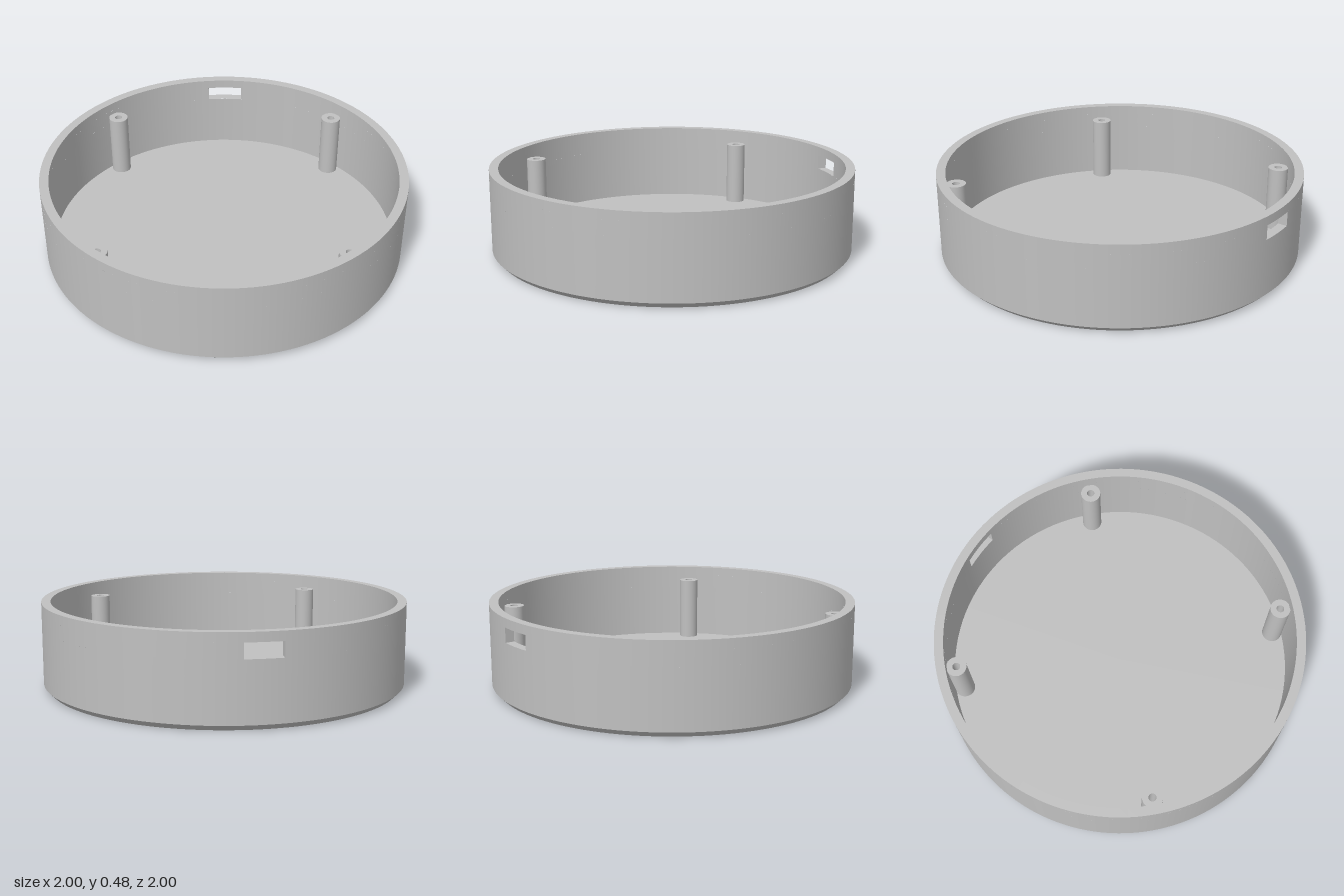
import * as THREE from 'three';
import { mergeGeometries } from 'three/addons/utils/BufferGeometryUtils.js';

const R = 1, INNER = 0.95, HEIGHT = 0.48, CHAMFER = 0.03, FLOOR = 0.045;
const SLOT = { half: 0.1, low: 0.35, high: 0.43 };
const TAU = Math.PI * 2;

// One straight profile segment revolved about y; keeping segments apart keeps edges sharp.
// Going up the profile faces outward, going down faces inward.
function band(r0, y0, r1, y1, segments = 128, start = 0, length = TAU) {
  return new THREE.LatheGeometry(
    [new THREE.Vector2(r0, y0), new THREE.Vector2(r1, y1)], segments, start, length);
}

function disc(r, y, up, segments) {
  return new THREE.CircleGeometry(r, segments).rotateX(up ? -Math.PI / 2 : Math.PI / 2).translate(0, y, 0);
}

export function createModel() {
  const model = new THREE.Group();
  model.name = 'roundEnclosure';
  const grey = new THREE.MeshStandardMaterial({ color: 0xc0c0c0 });
  grey.name = 'grey plastic';

  function add(name, parts, x = 0, z = 0) {
    const mesh = new THREE.Mesh(mergeGeometries(parts), grey);
    mesh.name = name;
    mesh.position.set(x, 0, z);
    model.add(mesh);
  }

  // Half angles of the slot opening at the outer and inner faces
  const gapOut = Math.asin(SLOT.half / R), gapIn = Math.asin(SLOT.half / INNER);
  const { low, high, half } = SLOT;

  // Wall: full rings below and above the slot, an open ring at slot height
  add('outerWall', [
    band(R - CHAMFER, 0, R, CHAMFER),
    band(R, CHAMFER, R, low),
    band(R, low, R, high, 128, Math.PI + gapOut, TAU - 2 * gapOut),
    band(R, high, R, HEIGHT),
  ]);
  add('innerWall', [
    band(INNER, low, INNER, FLOOR),
    band(INNER, high, INNER, low, 128, Math.PI + gapIn, TAU - 2 * gapIn),
    band(INNER, HEIGHT, INNER, high),
  ]);
  add('rim', [band(R, HEIGHT, INNER, HEIGHT)]);
  add('floor', [disc(INNER, FLOOR, true, 128)]);

  // Slot lining: sill, lintel and two side faces
  const zOut = Math.sqrt(R * R - half * half), zIn = Math.sqrt(INNER * INNER - half * half);
  const jamb = (side) => new THREE.PlaneGeometry(zOut - zIn, high - low)
    .rotateY(-side * Math.PI / 2)
    .translate(side * half, (low + high) / 2, -(zOut + zIn) / 2);
  add('cableSlot', [
    band(R, low, INNER, low, 8, Math.PI - gapIn, 2 * gapIn),
    band(INNER, high, R, high, 8, Math.PI - gapIn, 2 * gapIn),
    jamb(1), jamb(-1),
  ]);

  // Underside with three shallow round recesses for feet
  const base = new THREE.Shape().absarc(0, 0, R - CHAMFER, 0, TAU);
  const footR = 0.088, footDepth = 0.02;
  for (let i = 0; i < 3; i++) {
    const a = -Math.PI / 2 + i * TAU / 3;
    const x = 0.735 * Math.cos(a), z = 0.735 * Math.sin(a);
    base.holes.push(new THREE.Path().absarc(x, z, footR, 0, TAU, true));
    add('footRecess', [
      band(footR, footDepth, footR, 0, 48),
      disc(footR, footDepth, false, 48),
    ], x, z);
  }
  add('underside', [new THREE.ShapeGeometry(base, 64).rotateX(Math.PI / 2)]);

  // Four screw posts with pilot holes
  const postR = 0.055, holeR = 0.021, postTop = 0.407, holeEnd = 0.06;
  for (const x of [-0.635, 0.635]) {
    for (const z of [-0.635, 0.635]) {
      add('screwPost', [
        band(postR, FLOOR, postR, postTop, 40),
        band(postR, postTop, holeR, postTop, 40),
        band(holeR, postTop, holeR, holeEnd, 40),
        disc(holeR, holeEnd, true, 40),
      ], x, z);
    }
  }
  return model;
}
